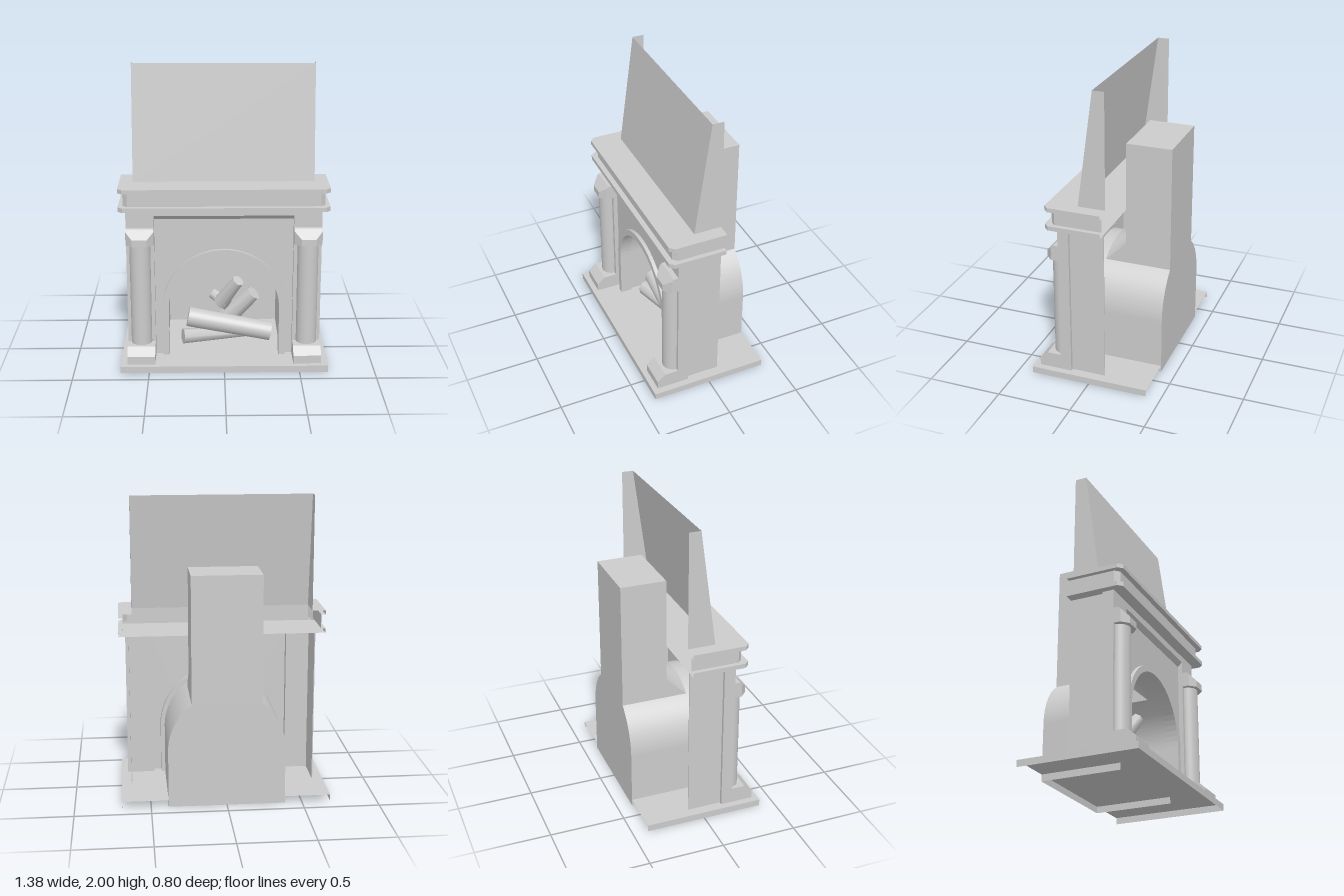
import * as THREE from 'three';

const material = new THREE.MeshStandardMaterial({ color: 0xcccccc, side: THREE.DoubleSide });
const V = (x, y, z) => new THREE.Vector3(x, y, z);

function add(parent, name, geometry) {
  const mesh = new THREE.Mesh(geometry, material);
  mesh.name = name;
  parent.add(mesh);
  return mesh;
}

function box(parent, name, x0, x1, y0, y1, z0, z1) {
  const mesh = add(parent, name, new THREE.BoxGeometry(x1 - x0, y1 - y0, z1 - z0));
  mesh.position.set((x0 + x1) / 2, (y0 + y1) / 2, (z0 + z1) / 2);
}

const shapeOf = (points) => new THREE.Shape(points.map(([a, b]) => new THREE.Vector2(a, b)));
const extrude = (shape, depth) => new THREE.ExtrudeGeometry(shape, { depth, bevelEnabled: false });

// Side profile of [z, y] points, extruded along x from x0 to x1
function alongX(points, x0, x1) {
  const g = extrude(shapeOf(points.map(([z, y]) => [-z, y])), x1 - x0);
  return g.rotateY(Math.PI / 2).translate(x0, 0, 0);
}

// Flat-faced skin over rows of points, each row of equal length
function skin(rows) {
  const p = [];
  for (let i = 0; i < rows.length - 1; i++) {
    for (let j = 0; j < rows[i].length - 1; j++) {
      const [a, b, c, d] = [rows[i][j], rows[i][j + 1], rows[i + 1][j + 1], rows[i + 1][j]];
      for (const v of [a, b, c, a, c, d]) p.push(v.x, v.y, v.z);
    }
  }
  const g = new THREE.BufferGeometry();
  g.setAttribute('position', new THREE.Float32BufferAttribute(p, 3));
  g.computeVertexNormals();
  return g;
}

// Outline around the left, front and right, open at the back, with cut front corners
const outline = (w, zBack, zFront, cut, y) => [V(-w, y, zBack), V(-w, y, zFront - cut),
  V(-w + cut, y, zFront), V(w - cut, y, zFront), V(w, y, zFront - cut), V(w, y, zBack)];
// The same outline flattened onto its back edge, to close off a shell
const closing = (row) => row.map((v) => V(v.x, v.y, row[0].z));

const FLOOR = 0.045, SPRING = 0.385, BACK = -0.093;

// Points on a circle about the spring centre of the arch
const arc = (r, from, to, n = 32) => Array.from({ length: n + 1 }, (_, i) => {
  const a = from + (to - from) * i / n;
  return [r * Math.cos(a), SPRING + r * Math.sin(a)];
});
// Arch outline from lower right over the top to lower left
const arch = (r) => [[r, FLOOR], ...arc(r, 0, Math.PI), [-r, FLOOR]];

function buildHearth(root) {
  // Slab shell, open underneath and at the back
  const top = outline(0.69, -0.4, 0.4, 0, FLOOR);
  add(root, 'hearth', skin([outline(0.69, -0.4, 0.4, 0, 0), top, closing(top)]));
}

function buildSurround(root) {
  // Thin front wall with arched opening
  const wall = shapeOf([[-0.46, FLOOR], [-0.46, 1.005], [0.46, 1.005], [0.46, FLOOR], ...arch(0.41)]);
  add(root, 'frontWall', new THREE.ShapeGeometry(wall).translate(0, 0, 0.185));

  // Arch trim
  const trim = shapeOf([...arch(0.412), ...arch(0.37).reverse()]);
  add(root, 'archTrim', extrude(trim, 0.08).translate(0, 0, 0.13));

  // Frieze with sloping underside
  add(root, 'frieze', alongX(
    [[0.18, 1.005], [0.185, 1.005], [0.215, 1.035], [0.215, 1.08], [0.18, 1.08]], -0.46, 0.46));

  const H = 0.0925;
  for (const s of [-1, 1]) {
    const side = new THREE.Group();
    side.name = s > 0 ? 'leftPilaster' : 'rightPilaster';
    root.add(side);
    const c = s * 0.553;
    box(side, 'pilaster', c - H, c + H, FLOOR, 1.08, 0.14, 0.215);
    box(side, 'sideWall', s * 0.62 - 0.003, s * 0.62 + 0.003, FLOOR, 1.08, -0.09, 0.14);

    // Round column
    const column = add(side, 'column', new THREE.CylinderGeometry(0.069, 0.069, 0.7, 32));
    column.position.set(s * 0.555, 0.5, 0.215);

    // Column base with sloped front
    add(side, 'columnBase', alongX(
      [[0.215, FLOOR], [0.362, FLOOR], [0.362, 0.1], [0.307, 0.15], [0.215, 0.15]], c - H, c + H));

    // Capital: cut corners, with a sloped top cutting across them
    const ring = (ySide, yFront, zSide, zFront) => [
      V(c + H, ySide, 0.215), V(c - H, ySide, 0.215), V(c - H, ySide, zSide),
      V(c - 0.048, yFront, zFront), V(c + 0.048, yFront, zFront), V(c + H, ySide, zSide),
      V(c + H, ySide, 0.215)];
    const low = ring(0.85, 0.85, 0.262, 0.305), top = ring(0.955, 0.955, 0.248, 0.248);
    const flat = (r) => r.map((v) => V(c, v.y, 0.235));
    add(side, 'capital', skin([flat(low), low, ring(0.941, 0.897, 0.262, 0.305), top, flat(top)]));
  }
}

function buildMantel(root) {
  // Moulded shelf, open at the back and beneath the hood
  const tier = (w, z, y) => outline(w, BACK, z, 0.03, y);
  const floor = tier(0.69, 0.29, 1.08);
  add(root, 'mantel', skin([closing(floor), floor, tier(0.69, 0.29, 1.11),
    tier(0.66, 0.255, 1.11), tier(0.66, 0.255, 1.205), tier(0.69, 0.29, 1.205),
    tier(0.69, 0.29, 1.233), outline(0.6, BACK, 0.09, 0, 1.233)]));
}

function buildHood(root) {
  // Thin hood, open at the back and top
  add(root, 'hood', skin([outline(0.6, BACK, 0.09, 0, 1.233), outline(0.6, BACK, -0.015, 0, 2)]));
}

function buildFirebox(root) {
  const firebox = new THREE.Group();
  firebox.name = 'firebox';
  root.add(firebox);
  const R = 0.385, W = 0.23, Z0 = -0.4, THROAT = 0.05;
  const a0 = Math.acos(W / R), yS = SPRING + R * Math.sin(a0);
  const shoulder = [[R, 0], ...arc(R, 0, a0, 20)];
  const crown = arc(R, a0, Math.PI - a0, 16);
  const vault = (points, z0, z1) => skin([z0, z1].map((z) => points.map(([x, y]) => V(x, y, z))));

  // Vault walls, with the crown closed only in front of the flue
  add(firebox, 'leftVault', vault(shoulder, Z0, 0.14));
  add(firebox, 'rightVault', vault(shoulder.map(([x, y]) => [-x, y]), Z0, 0.14));
  add(firebox, 'crown', vault(crown, THROAT, 0.14));

  // Back wall of firebox and chimney in one piece
  const back = [...shoulder, [W, 1.54], [-W, 1.54], ...shoulder.map(([x, y]) => [-x, y]).reverse()];
  add(firebox, 'backWall', new THREE.ShapeGeometry(shapeOf(back)).translate(0, 0, Z0));

  // Sloping throat, chimney front and top
  const level = (y, z) => crown.map(([x]) => V(x, y, z));
  add(firebox, 'chimneyFront', skin([crown.map(([x, y]) => V(x, y, THROAT)),
    level(0.83, BACK), level(1.54, BACK), level(1.54, Z0)]));

  // Chimney sides
  const profile = [[THROAT, yS], [BACK, 0.83], [BACK, 1.54], [Z0, 1.54], [Z0, yS]];
  for (const s of [-1, 1]) {
    const g = new THREE.ShapeGeometry(shapeOf(profile.map(([z, y]) => [-z, y])));
    add(firebox, 'chimneySide', g.rotateY(Math.PI / 2).translate(s * W, 0, 0));
  }
}

function buildLogs(root) {
  const logs = new THREE.Group();
  logs.name = 'logs';
  root.add(logs);
  // name, start, end, start radius, end radius, sides
  const list = [
    ['frontLog', V(-0.245, 0.237, 0.0), V(0.325, 0.127, 0.01), 0.068, 0.064, 24],
    ['bottomLog', V(-0.28, 0.115, 0.06), V(0.17, 0.095, -0.06), 0.055, 0.035, 7],
    ['rearLog', V(0.0, 0.15, -0.13), V(0.21, 0.385, -0.06), 0.075, 0.052, 8],
    ['leaningLog', V(-0.02, 0.32, -0.05), V(0.1, 0.515, 0.04), 0.055, 0.042, 7],
    ['logBranch', V(-0.075, 0.37, -0.1), V(0.03, 0.31, -0.04), 0.04, 0.05, 7],
  ];
  for (const [name, a, b, r0, r1, sides] of list) {
    const log = add(logs, name, new THREE.CylinderGeometry(r1, r0, a.distanceTo(b), sides));
    log.position.copy(a).lerp(b, 0.5);
    log.quaternion.setFromUnitVectors(V(0, 1, 0), b.clone().sub(a).normalize());
  }
}

export function createModel() {
  const root = new THREE.Group();
  root.name = 'fireplace';
  buildHearth(root);
  buildSurround(root);
  buildMantel(root);
  buildHood(root);
  buildFirebox(root);
  buildLogs(root);
  return root;
}
